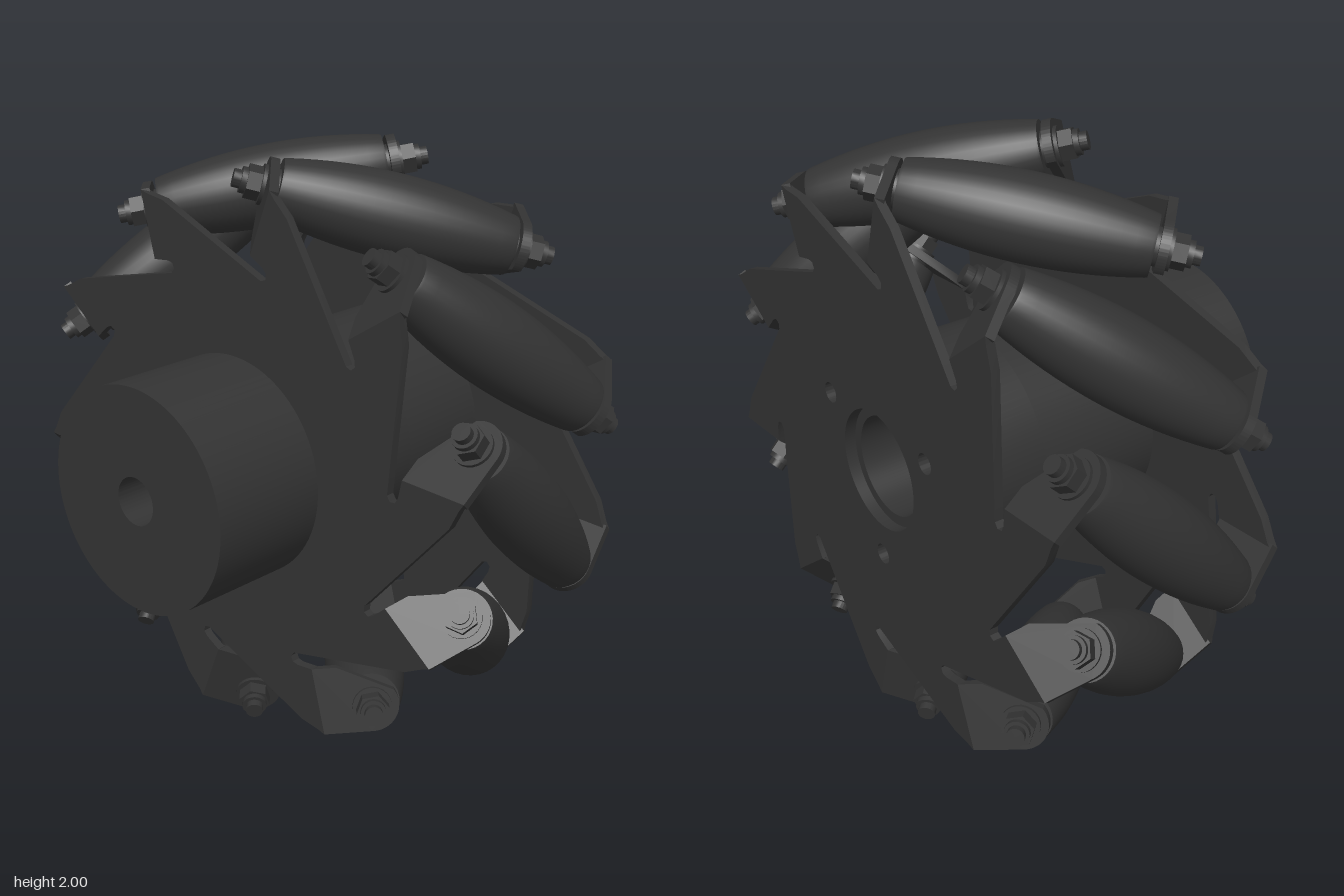
import * as THREE from 'three';
import { toCreasedNormals } from 'three/addons/utils/BufferGeometryUtils.js';

const COUNT = 10, STEP = (Math.PI * 2) / COUNT;
const AXIS_R = 0.86;      // distance of roller axes from the wheel axis
const HALF = 0.425;       // half the width over both plates
const SHEET = 0.03;       // plate thickness
const BEND = 0.18;        // tangential position of the tab bend line
const TAB_S = (BEND + HALF) / Math.SQRT2; // outer tab face along the roller axis
const mat = new THREE.MeshStandardMaterial({ color: 0x333333 });

function mesh(name, geometry) {
  const m = new THREE.Mesh(geometry, mat);
  m.name = name;
  return m;
}

function extrude(shape, depth, z = 0) {
  const g = new THREE.ExtrudeGeometry(shape, { depth, bevelEnabled: false, curveSegments: 48 });
  g.translate(0, 0, z);
  return toCreasedNormals(g, 0.5);
}

function addHole(shape, x, y, r) {
  shape.holes.push(new THREE.Path().absarc(x, y, r, 0, Math.PI * 2, true));
}

// Side plate: saw-toothed disc with a slit behind every tooth
function plateGeometry() {
  // [tangential, radial] corners of one tooth
  const tooth = [[-0.29, 0.59], [0.085, 0.885], [0.155, 0.915], [BEND, 0.93],
    [BEND, 0.70], [0.118, 0.69], [0.098, 0.68], [0.095, 0.66]];
  const pts = [];
  for (let k = 0; k < COUNT; k++) {
    const c = Math.cos(k * STEP), s = Math.sin(k * STEP);
    for (const [t, r] of tooth) pts.push(new THREE.Vector2(r * c - t * s, r * s + t * c));
  }
  const shape = new THREE.Shape(pts);
  addHole(shape, 0, 0, 0.37);
  return extrude(shape, SHEET, HALF - SHEET);
}

// Bent tab with a rounded end around the bolt, lying square to the roller axis
function tabGeometry() {
  const u = (TAB_S / Math.SQRT2 - BEND) * Math.SQRT2, r = 0.09;
  const shape = new THREE.Shape();
  shape.moveTo(0, 0.70);
  shape.lineTo(0.08, 0.71);
  shape.absarc(u, AXIS_R, r, -0.45, Math.PI * 0.55, false);
  shape.lineTo(0, 0.93);
  const g = extrude(shape, SHEET);
  const q = Math.SQRT1_2;
  const m = new THREE.Matrix4().makeBasis(
    new THREE.Vector3(0, q, -q), new THREE.Vector3(1, 0, 0), new THREE.Vector3(0, -q, -q));
  m.setPosition(0, BEND, HALF);
  return g.applyMatrix4(m);
}

// Barrel roller whose belly follows the wheel's outer circle
function rollerGeometry() {
  const L = 0.385, pts = [new THREE.Vector2(0.02, -L), new THREE.Vector2(0.095, -L)];
  for (let i = 0; i <= 16; i++) {
    const s = (i / 8 - 1) * (L - 0.008);
    pts.push(new THREE.Vector2(0.998 - Math.sqrt(AXIS_R ** 2 + (s * s) / 2), s));
  }
  pts.push(new THREE.Vector2(0.095, L), new THREE.Vector2(0.02, L));
  return toCreasedNormals(new THREE.LatheGeometry(pts, 32), 0.5);
}

// Bolt end pieces: [name, radius, start, length, sides]
const boltParts = [
  ['spacer', 0.06, 0.38, 0.03, 24],
  ['washer', 0.065, TAB_S, 0.012, 24],
  ['nut', 0.055, TAB_S + 0.012, 0.045, 6],
  ['nutCollar', 0.042, TAB_S + 0.057, 0.018, 24],
  ['boltTip', 0.03, TAB_S + 0.075, 0.025, 20],
].map(([name, r, start, len, n]) => {
  const g = new THREE.CylinderGeometry(r, r, len, n).translate(0, start + len / 2, 0);
  return [name, toCreasedNormals(g, 0.5)];
});

// Hub: stepped bore, three blind screw holes in the back
function createHub() {
  const hub = new THREE.Group();
  hub.name = 'hub';
  const section = (name, z0, z1, bore, screws) => {
    const shape = new THREE.Shape().absarc(0, 0, 0.375, 0, Math.PI * 2, false);
    addHole(shape, 0, 0, bore);
    for (let i = 0; screws && i < 3; i++) {
      const a = -Math.PI / 2 + (i * Math.PI * 2) / 3;
      addHole(shape, 0.32 * Math.cos(a), 0.32 * Math.sin(a), 0.035);
    }
    hub.add(mesh(name, extrude(shape, z1 - z0, z0)));
  };
  section('hubBackRim', -0.64, -0.60, 0.205, true);
  section('hubSocket', -0.60, -0.25, 0.17, true);
  section('hubBarrel', -0.25, 0.64, 0.08, false);
  hub.position.y = 1;
  return hub;
}

export function createModel() {
  const model = new THREE.Group();
  model.name = 'rollerWheel';
  const wheel = new THREE.Group();
  wheel.name = 'rim';
  wheel.position.set(0, 1, -0.215);
  wheel.rotation.z = THREE.MathUtils.degToRad(-3);

  // The back plate is the front one turned half round
  const plate = plateGeometry();
  const front = mesh('frontPlate', plate), back = mesh('backPlate', plate);
  back.rotation.x = Math.PI;
  wheel.add(front, back);

  const rollerGeo = rollerGeometry(), tabGeo = tabGeometry();
  for (let k = 0; k < COUNT; k++) {
    const station = new THREE.Group();
    station.name = 'rollerStation';
    station.rotation.z = k * STEP;

    const roller = mesh('roller', rollerGeo);
    roller.position.x = AXIS_R;
    roller.rotation.x = Math.PI / 4;
    station.add(roller);

    // Tab and bolt end at the front, then the same turned to the back
    for (const turn of [0, Math.PI]) {
      const end = new THREE.Group();
      end.name = turn ? 'backMount' : 'frontMount';
      end.rotation.x = turn;
      end.add(mesh('tab', tabGeo));
      const bolt = new THREE.Group();
      bolt.name = 'bolt';
      bolt.position.x = AXIS_R;
      bolt.rotation.x = Math.PI / 4;
      for (const [name, g] of boltParts) bolt.add(mesh(name, g));
      end.add(bolt);
      station.add(end);
    }
    wheel.add(station);
  }

  model.add(wheel, createHub());
  return model;
}
